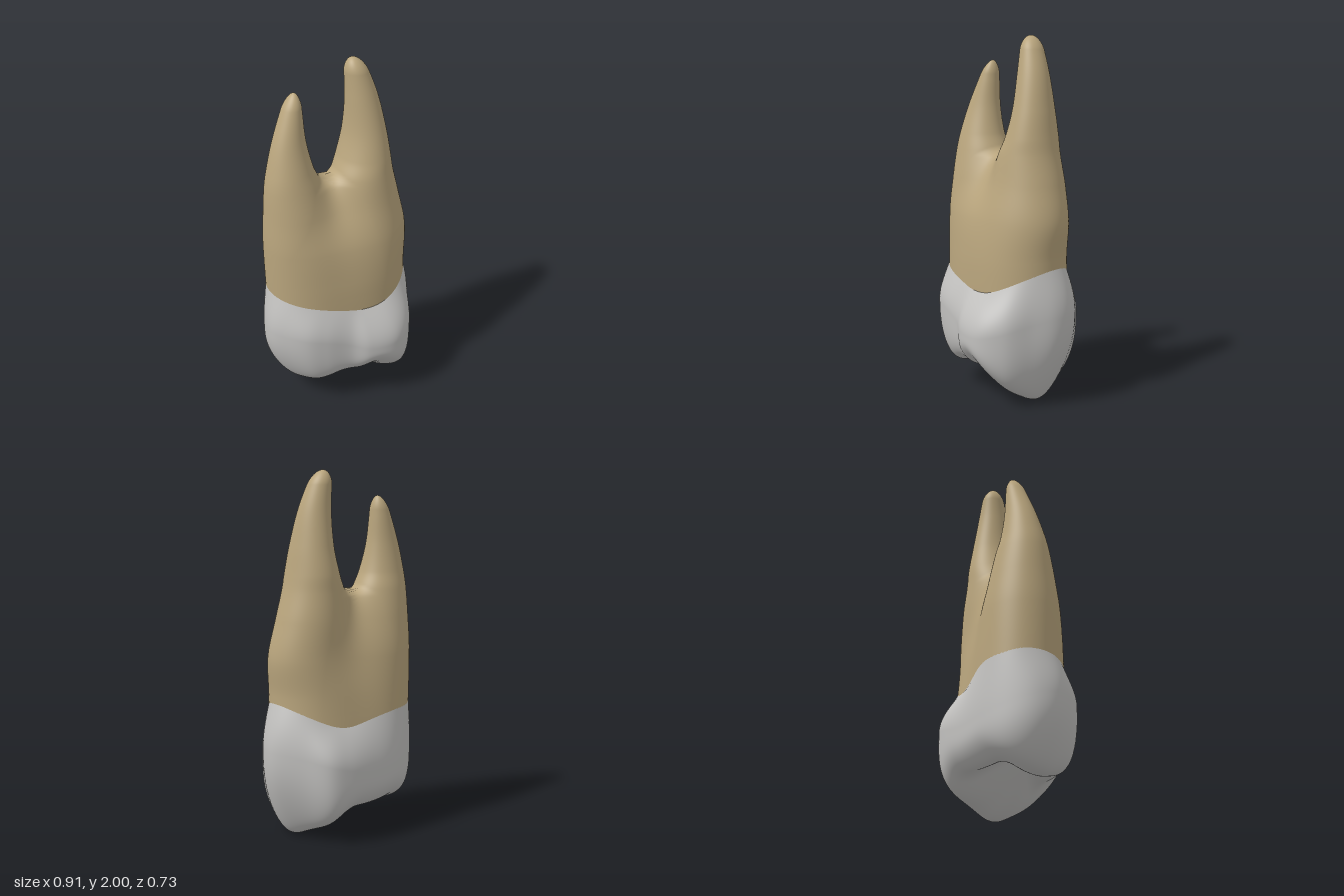
import * as THREE from 'three';

const COLS = 128;
const { sqrt, hypot, min, max, abs, sin, cos, atan2, PI } = Math;
const { lerp, smoothstep, clamp } = THREE.MathUtils;
const soft = (d, r) => sqrt(d * d + r * r) - r;

// Root cross-sections: y, centre x, radius x, centre z, radius z
const shortRoot = { tip: 1.865, side: -1, rows: [
  [0.55, -0.19, 0.215, -0.12, 0.22], [1.0, -0.2, 0.215, -0.13, 0.205], [1.2, -0.215, 0.19, -0.14, 0.175],
  [1.36, -0.232, 0.16, -0.15, 0.142], [1.45, -0.242, 0.133, -0.155, 0.12], [1.6, -0.235, 0.097, -0.165, 0.087],
  [1.75, -0.208, 0.062, -0.172, 0.062], [1.865, -0.182, 0.033, -0.175, 0.042]] };
const tallRoot = { tip: 2, side: 1, rows: [
  [0.55, 0.135, 0.262, 0, 0.25], [0.8, 0.133, 0.262, 0.01, 0.235], [1.0, 0.15, 0.26, 0.01, 0.215],
  [1.2, 0.165, 0.21, -0.01, 0.19], [1.36, 0.167, 0.17, -0.02, 0.17], [1.45, 0.18, 0.142, -0.025, 0.158],
  [1.6, 0.188, 0.112, -0.03, 0.128], [1.8, 0.175, 0.086, -0.043, 0.09], [2, 0.142, 0.052, -0.07, 0.055]] };

// Smoothly interpolated ellipse of a root at height y, rounded off at the tip
function section(root, y) {
  const r = root.rows;
  y = clamp(y, 0.55, root.tip);
  let i = 0;
  while (i < r.length - 2 && y > r[i + 1][0]) i++;
  const slope = (k, c) => {
    const a = r[max(k - 1, 0)], b = r[min(k + 1, r.length - 1)];
    return (b[c] - a[c]) / (b[0] - a[0]);
  };
  const h = r[i + 1][0] - r[i][0], t = (y - r[i][0]) / h;
  const v = c => (1 + 2 * t) * (1 - t) ** 2 * r[i][c] + t * (1 - t) ** 2 * h * slope(i, c)
    + t * t * (3 - 2 * t) * r[i + 1][c] + t * t * (t - 1) * h * slope(i + 1, c);
  const u = max(0, (y - root.tip + 0.08) / 0.08), round = max(0.002, sqrt(max(0, 1 - u * u)));
  return { x: v(1), rx: v(2) * round, z: v(3), rz: v(4) * round };
}

// Blended outline of both roots at height y: negative inside
function outlineField(y) {
  const a = section(shortRoot, y), b = section(tallRoot, y);
  const k = lerp(0.26, 0.19, smoothstep(y, 0.6, 1.34)) - 0.1 * smoothstep(y, 1.32, 1.42);
  const d = (e, x, z) => (hypot((x - e.x) / e.rx, (z - e.z) / e.rz) - 1) * min(e.rx, e.rz);
  return (x, z) => {
    const p = d(a, x, z), q = d(b, x, z), h = max(k - abs(p - q), 0) / k;
    return min(p, q) - h * h * k / 4;
  };
}

// Distance from (x, z) to the outline in direction (c, s)
function castRay(field, x, z, c, s, limit) {
  if (field(x + c * limit, z + s * limit) < 0) return limit;
  let lo = 0, hi = limit;
  for (let i = 0; i < 22; i++) {
    const m = (lo + hi) / 2;
    if (field(x + c * m, z + s * m) < 0) lo = m; else hi = m;
  }
  return lo;
}

// Closed loft from rings ordered bottom to top; triangles with only hidden corners are left out
function loft(rings, hidden = []) {
  const index = [];
  const face = (...v) => { if (!v.every(k => hidden[k])) index.push(...v); };
  for (let i = 0; i < rings.length - 1; i++) {
    for (let j = 0; j < COLS; j++) {
      const n = (j + 1) % COLS, a = i * COLS + j, b = i * COLS + n;
      face(a, a + COLS, b);
      face(b, a + COLS, b + COLS);
    }
  }
  const g = new THREE.BufferGeometry();
  g.setAttribute('position', new THREE.Float32BufferAttribute(rings.flat(2), 3));
  g.setIndex(index);
  g.computeVertexNormals();
  return g;
}

// One root, reaching a little past the plane it shares with the other so that both blend
function rootGeometry(root) {
  const rings = [], normals = [], hidden = [], ROWS = 150, E = 0.002;
  const nx = 0.93 * root.side, nz = 0.36 * root.side;
  for (let i = 0; i <= ROWS; i++) {
    const t = i / ROWS;
    const y = lerp(0.6, root.tip, lerp(t, sin(t * PI / 2), 0.75));
    const field = outlineField(y), below = outlineField(y - E), e = section(root, y), ring = [];
    const gap = (e.x + 0.045) * nx + (e.z + 0.07) * nz + 0.03;
    for (let j = 0; j < COLS; j++) {
      const c = cos(j / COLS * 2 * PI), s = sin(j / COLS * 2 * PI);
      const toward = -(c * nx + s * nz), limit = toward > 0 ? min(0.6, gap / toward) : 0.6;
      const d = castRay(field, e.x, e.z, c, s, limit);
      const x = e.x + c * d, z = e.z + s * d;
      ring.push([x, y, z]);
      hidden.push(d === limit);
      // Normal from the slope of the outline field, so the shared wall shades as one
      const n = new THREE.Vector3((field(x + E, z) - field(x - E, z)) / 2,
        field(x, z) - below(x, z), (field(x, z + E) - field(x, z - E)) / 2).normalize();
      normals.push(n.x, n.y, n.z);
    }
    rings.push(ring);
  }
  const g = loft(rings, hidden);
  g.setAttribute('normal', new THREE.Float32BufferAttribute(normals, 3));
  return g;
}

// Lower of two heights with a softened crease
function softMin(a, b, k) {
  const h = max(k - abs(a - b), 0) / k;
  return min(a, b) - h * h * k / 4;
}

// Chewing surface: two cusps, a valley between, and a low ridge closing it at each end
function cuspHeight(x, z) {
  const tall = -0.08 + 1.05 * soft(x - 0.295, 0.05) + 0.45 * soft(z - 0.06, 0.05);
  const low = 0.04 + 1.05 * soft(x + 0.335, 0.09) + 0.25 * soft(z, 0.1);
  const backRidge = 0.165 + 0.9 * soft(z + 0.27, 0.06);
  const frontRidge = 0.18 + 0.9 * soft(z - 0.17, 0.05);
  return softMin(softMin(tall, low, 0.05), min(backRidge, frontRidge), 0.06);
}

function crownGeometry() {
  const belly = new THREE.CatmullRomCurve3([
    [0.455, 0], [0.43, 0.1], [0.335, 0.21], [0.23, 0.32], [0.09, 0.365], [-0.07, 0.305], [-0.15, 0.23],
    [-0.28, 0.165], [-0.37, 0.1], [-0.43, 0], [-0.458, -0.11], [-0.42, -0.22], [-0.31, -0.315],
    [-0.16, -0.364], [0.03, -0.357], [0.2, -0.335], [0.31, -0.29], [0.385, -0.17]
  ].map(([x, z]) => new THREE.Vector3(x, 0, z)), true);
  const columns = Array.from({ length: COLS }, (_, j) => {
    const p = belly.getPoint(j / COLS), a = atan2(p.z, p.x), c = cos(a), s = sin(a);
    const side = cos(a - 0.12);
    const neckY = 0.615 + (side > 0 ? 0.145 * side ** 3 : 0.06 * side * side)
      + 0.08 * max(0, -0.6 * c - 0.8 * s) ** 2;
    const d = castRay(outlineField(neckY), 0, 0, c, s, 0.7) - 0.001;
    return { x: p.x, z: p.z, neckX: c * d, neckZ: s * d, neckY,
      bellyY: 0.5 - 0.11 * s * s, power: 2.4 + 2 * s * s };
  });
  const rings = [];
  // Underside and lower wall
  for (let i = 0; i <= 80; i++) {
    const s = sin(i / 80 * PI / 2);
    rings.push(columns.map(p => {
      const f = max(0, 1 - s ** p.power) ** (1 / p.power);
      return [p.x * s, lerp(p.bellyY, cuspHeight(p.x * s, p.z * s), f), p.z * s];
    }));
  }
  // Upper wall narrowing to the neck
  for (let i = 1; i <= 24; i++) {
    const t = i / 24, f = 1 - cos(t * PI / 2);
    rings.push(columns.map(p =>
      [lerp(p.x, p.neckX, f), lerp(p.bellyY, p.neckY, t), lerp(p.z, p.neckZ, f)]));
  }
  return loft(rings);
}

export function createModel() {
  const dentin = new THREE.MeshStandardMaterial({ color: 0xb9a57d });
  dentin.name = 'root tan';
  const enamel = new THREE.MeshStandardMaterial({ color: 0xc1c0be });
  enamel.name = 'enamel grey';
  const group = new THREE.Group();
  group.name = 'tooth';
  const add = (name, geometry, material) => {
    const mesh = new THREE.Mesh(geometry, material);
    mesh.name = name;
    group.add(mesh);
  };
  add('crown', crownGeometry(), enamel);
  add('tallRoot', rootGeometry(tallRoot), dentin);
  add('shortRoot', rootGeometry(shortRoot), dentin);
  return group;
}
